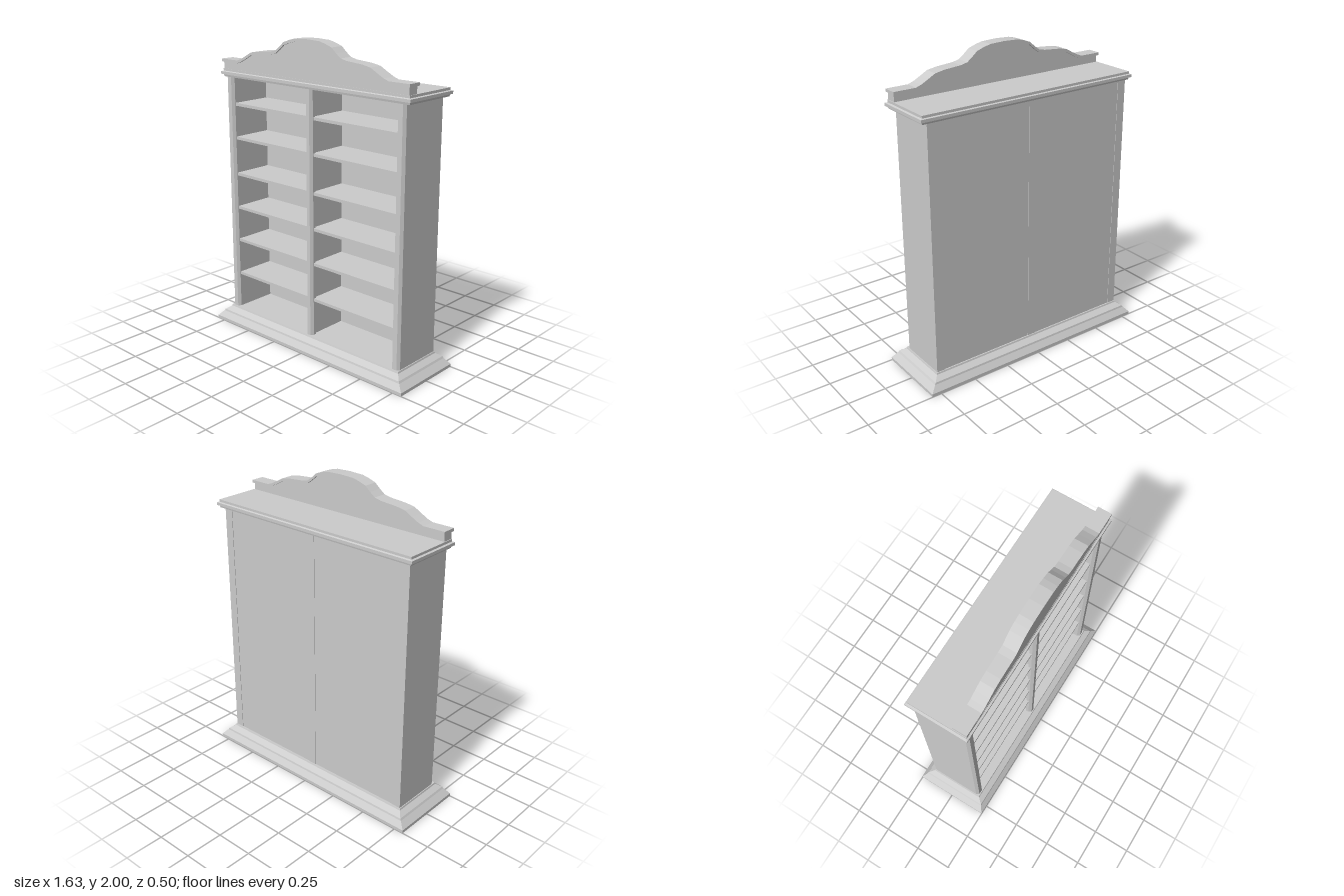
import * as THREE from 'three';

const material = new THREE.MeshStandardMaterial({ color: 0xcccccc, flatShading: true });

function addMesh(parent, name, geometry, x = 0, y = 0, z = 0) {
  const mesh = new THREE.Mesh(geometry, material);
  mesh.name = name;
  mesh.position.set(x, y, z);
  parent.add(mesh);
  return mesh;
}

// Box given by its minimum and maximum on each axis
function addBox(parent, name, [x0, x1], [y0, y1], [z0, z1]) {
  const geometry = new THREE.BoxGeometry(x1 - x0, y1 - y0, z1 - z0);
  return addMesh(parent, name, geometry, (x0 + x1) / 2, (y0 + y1) / 2, (z0 + z1) / 2);
}

// Mitred moulding: rectangular rings [y, halfWidth, halfDepth] joined from bottom to top
function mouldingGeometry(rings) {
  const corners = rings.map(([y, hx, hz]) => [[-hx, y, hz], [hx, y, hz], [hx, y, -hz], [-hx, y, -hz]]);
  const positions = [];
  const quad = (a, b, c, d) => positions.push(...a, ...b, ...c, ...a, ...c, ...d);
  for (let i = 0; i + 1 < corners.length; i++) {
    for (let k = 0; k < 4; k++) {
      const n = (k + 1) % 4;
      quad(corners[i][k], corners[i][n], corners[i + 1][n], corners[i + 1][k]);
    }
  }
  const [a, b, c, d] = corners[0];
  quad(d, c, b, a);
  quad(...corners[corners.length - 1]);
  const geometry = new THREE.BufferGeometry();
  geometry.setAttribute('position', new THREE.Float32BufferAttribute(positions, 3));
  geometry.computeVertexNormals();
  return geometry;
}

// Upright front strip with chamfered long edges
function stileGeometry(width, depth, height) {
  const h = width / 2, c = 0.013;
  const shape = new THREE.Shape([
    [-h, 0], [h, 0], [h - c, -depth], [-h + c, -depth],
  ].map(([x, y]) => new THREE.Vector2(x, y)));
  const geometry = new THREE.ExtrudeGeometry(shape, { depth: height, bevelEnabled: false });
  return geometry.rotateX(-Math.PI / 2);
}

function extrudeFrontal(points, z0, z1) {
  const geometry = new THREE.ExtrudeGeometry(new THREE.Shape(points), { depth: z1 - z0, bevelEnabled: false });
  return geometry.translate(0, 0, z0);
}

export function createModel() {
  const group = new THREE.Group();
  group.name = 'bookcase';
  const bottom = 0.105, top = 1.71;
  const backZ = -0.177, stileZ = 0.157, frontZ = 0.176;
  const wallInner = 0.672, wallOuter = 0.73;
  const panelZ = [backZ + 0.003, -0.12];

  // Stepped plinth
  addMesh(group, 'plinth', mouldingGeometry([
    [0, 0.813, 0.25], [0.02, 0.813, 0.25], [0.058, 0.777, 0.223], [0.07, 0.77, 0.22],
    [0.094, 0.738, 0.185], [0.105, 0.735, 0.182],
  ]));

  // Thick side walls with their front strips
  for (const side of [-1, 1]) {
    const x = side * (wallInner + wallOuter) / 2, half = (wallOuter - wallInner) / 2;
    addBox(group, side > 0 ? 'leftWall' : 'rightWall', [x - half, x + half], [bottom, top], [backZ, stileZ]);
    addMesh(group, 'sideStile', stileGeometry(half * 2, frontZ - stileZ, top - bottom), x, bottom, stileZ);
  }

  // Central divider, its front strip and the batten behind it
  addBox(group, 'divider', [-0.012, 0.012], [bottom, top], [panelZ[1], stileZ - 0.02]);
  addBox(group, 'centrePost', [-0.025, 0.025], [bottom, top], [stileZ - 0.02, stileZ]);
  addMesh(group, 'centreStile', stileGeometry(0.05, frontZ - stileZ, top - bottom), 0, bottom, stileZ);
  addBox(group, 'backBatten', [-0.03, 0.03], [bottom, top], [backZ, panelZ[1]]);

  // Back panels and shelves of the two bays
  const shelfTops = [0.357, 0.599, 0.831, 1.064, 1.31, 1.535];
  for (const [inner, outer] of [[-0.012, -wallInner], [0.012, wallInner]]) {
    const bay = [Math.min(inner, outer), Math.max(inner, outer)];
    addBox(group, 'backPanel', bay, [bottom, top], panelZ);
    for (const y of shelfTops) addBox(group, 'shelf', bay, [y - 0.019, y], [panelZ[1], 0.153]);
  }

  // Cornice
  addMesh(group, 'cornice', mouldingGeometry([
    [1.705, 0.755, 0.184], [1.718, 0.757, 0.187], [1.72, 0.77, 0.198], [1.738, 0.77, 0.198],
    [1.742, 0.757, 0.187], [1.757, 0.757, 0.187],
  ]), 0.01, 0, -0.005);

  // Serpentine crest: board with a projecting cap along its top edge
  const half = [
    [0, 2], [0.1, 1.996], [0.145, 1.985], [0.195, 1.968], [0.23, 1.938], [0.265, 1.912], [0.31, 1.902],
    [0.425, 1.893], [0.485, 1.882], [0.535, 1.855], [0.58, 1.832], [0.615, 1.82], [0.76, 1.82],
  ];
  const curve = [...half.slice(1).reverse().map(([x, y]) => [-x, y]), ...half];
  const capThickness = 0.018, endX = 0.752;
  const upper = curve.map(([x, y]) => new THREE.Vector2(x, y));
  const lower = upper.map((p) => new THREE.Vector2(p.x, p.y - capThickness));
  const boardTop = lower.map((p) => new THREE.Vector2(THREE.MathUtils.clamp(p.x, -endX, endX), p.y + 0.005));

  const crest = new THREE.Group();
  crest.name = 'crest';
  crest.position.x = 0.01;
  group.add(crest);
  addMesh(crest, 'crestBoard', extrudeFrontal(
    [new THREE.Vector2(-endX, 1.75), ...boardTop, new THREE.Vector2(endX, 1.75)], 0.113, 0.18));
  addMesh(crest, 'crestCap', extrudeFrontal([...upper, ...lower.reverse()], 0.1, 0.19));

  return group;
}
